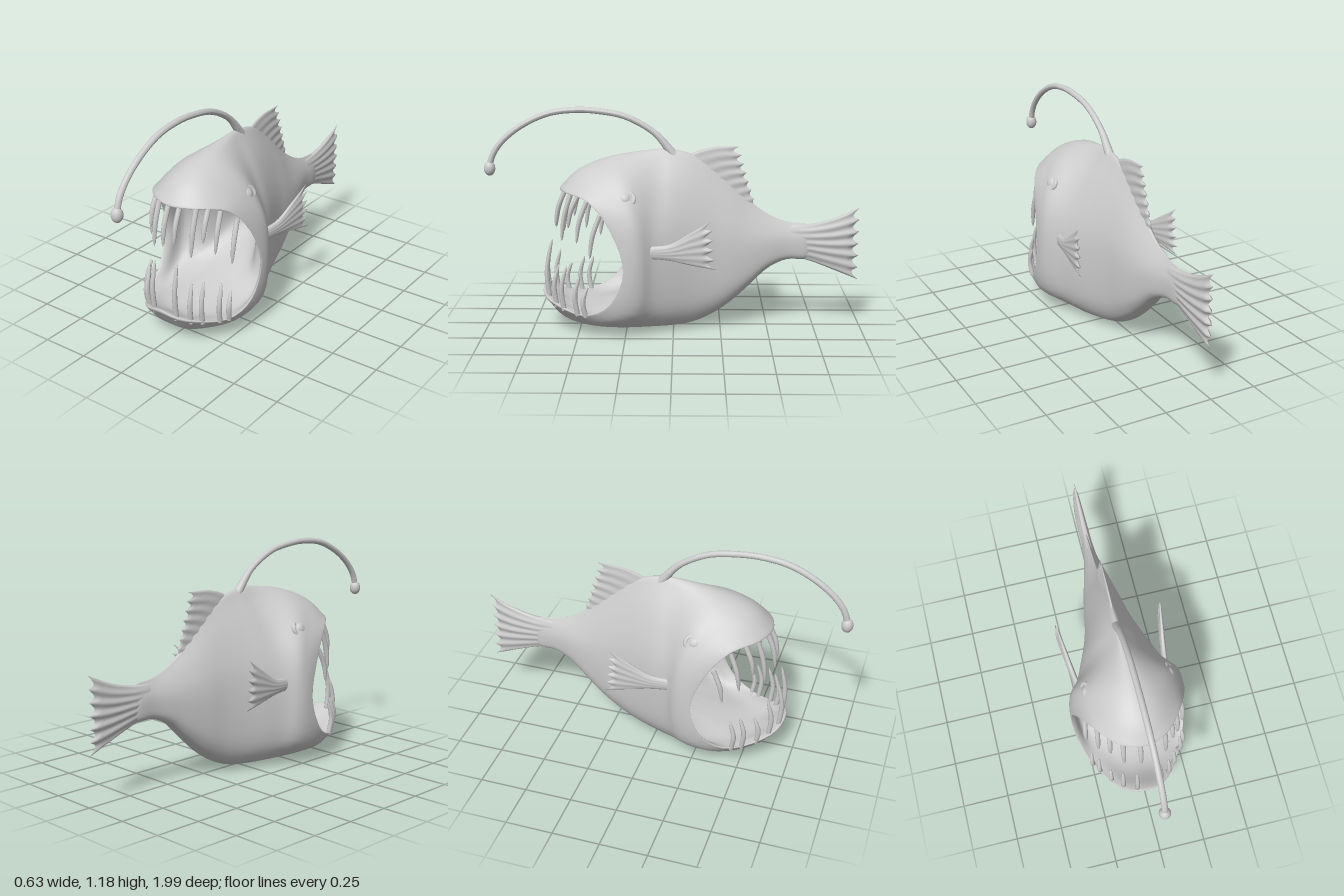
import * as THREE from 'three';

const grey = new THREE.MeshStandardMaterial({ color: 0xcccccc });
const thin = new THREE.MeshStandardMaterial({ color: 0xcccccc, side: THREE.DoubleSide });
const V = (x, y, z) => new THREE.Vector3(x, y, z);

function add(parent, name, geometry, material = grey) {
  const mesh = new THREE.Mesh(geometry, material);
  mesh.name = name;
  parent.add(mesh);
  return mesh;
}

// Skin over a list of closed rings that all have the same number of points
function skin(rings) {
  const n = rings[0].length, pos = [], index = [];
  rings.forEach(r => r.forEach(p => pos.push(p.x, p.y, p.z)));
  for (let i = 0; i < rings.length - 1; i++) {
    for (let j = 0; j < n; j++) {
      const a = i * n + j, b = i * n + (j + 1) % n;
      index.push(a, b, a + n, b, b + n, a + n);
    }
  }
  const g = new THREE.BufferGeometry();
  g.setAttribute('position', new THREE.Float32BufferAttribute(pos, 3));
  g.setIndex(index);
  g.computeVertexNormals();
  return g;
}

// Tube whose radius follows a rule along its length
function taperedTube(points, radius, segments, sides) {
  const curve = new THREE.CatmullRomCurve3(points);
  const g = new THREE.TubeGeometry(curve, segments, 1, sides);
  const pos = g.attributes.position, p = V(0, 0, 0);
  for (let i = 0; i < pos.count; i++) {
    const t = Math.floor(i / (sides + 1)) / segments;
    const c = curve.getPointAt(t);
    p.fromBufferAttribute(pos, i).sub(c).multiplyScalar(radius(t)).add(c);
    pos.setXYZ(i, p.x, p.y, p.z);
  }
  g.computeVertexNormals();
  return g;
}

// Rayed fin between an upper and a lower edge, given as [z, y] points from root to tip
function fin(upper, lower, rays, thickness, depth, rippleDepth) {
  const curve = pts => new THREE.CatmullRomCurve3(pts.map(([z, y]) => V(0, y, z)));
  const top = curve(upper), bottom = curve(lower);
  const nu = rays * 8, nv = 16, rings = [];
  for (let i = 0; i <= nv; i++) {
    const ring = [], v = i / nv;
    for (let k = 0; k < 2 * nu; k++) {
      const u = (k <= nu ? k : 2 * nu - k) / nu;
      const w = v * (1 - depth * Math.abs(Math.sin(Math.PI * rays * u)) * v * v);
      const p = top.getPoint(w).lerp(bottom.getPoint(w), u);
      const ripple = 1 - rippleDepth * v * (1 - Math.cos(2 * Math.PI * rays * u));
      const width = i === nv ? 0 : thickness * (1 - 0.55 * v ** 4) * ripple;
      p.x = width * Math.max(0, Math.sin(Math.PI * u)) ** 0.35 * (k <= nu ? 1 : -1);
      ring.push(p);
    }
    rings.push(ring);
  }
  return skin(rings);
}

// Half rings from top centre to bottom centre: mouth rim, middle of the head, back of the head
const half = points => points.map(p => V(...p));
const rim = half([[0, .75, .60], [.13, .75, .555], [.232, .72, .43], [.285, .58, .315], [.308, .38, .25],
  [.3, .2, .325], [.25, .13, .47], [.13, .17, .65], [0, .205, .70]]);
const head = half([[0, .86, .49], [.12, .84, .44], [.226, .755, .33], [.293, .6, .24], [.312, .38, .2],
  [.30, .16, .25], [.235, .07, .38], [.11, .055, .54], [0, .055, .57]]);
const nape = half([[0, .925, .32], [.1, .89, .29], [.205, .785, .23], [.28, .61, .18], [.294, .38, .155],
  [.28, .15, .18], [.2, .052, .25], [.09, .015, .33], [0, .01, .35]]);

// Flat trunk sections: z, top, bottom, half width
const trunk = [
  [.1, .96, .001, .25], [0, .958, .004, .203], [-.1, .933, .02, .161], [-.2, .873, .062, .13],
  [-.3, .785, .13, .111], [-.4, .685, .222, .089], [-.5, .613, .318, .063], [-.6, .573, .366, .038],
  [-.7, .56, .37, .028], [-.74, .52, .41, .004],
];
const sectionX = [0, .2, .58, .9, 1, .93, .66, .3, 0];
const sectionY = [1, .94, .79, .6, .4, .17, .055, .012, 0];

function bodyGeometry() {
  // Mouth lining: outer rings shrunk about the mouth centre, running back to a round throat
  const inset = (ring, sx, sy, sz, dz) =>
    ring.map(p => V(p.x * sx, .42 + (p.y - .42) * sy, p.z * sz + dz));
  const throat = [[0, -.16], [.05, -.15], [.09, -.06]].map(([r, z]) =>
    sectionX.map((_, i) => V(r * Math.sin(i * Math.PI / 8), .4 + r * Math.cos(i * Math.PI / 8), z)));
  const lining = [inset(nape, .57, .6, .65, 0), inset(head, .86, .83, 1, -.06), inset(rim, .93, 1.02, 1, -.03)];
  const lip = rim.map((p, i) => p.clone().lerp(head[i], .25).add(V(p.x * .015, 0, .01)));
  const sections = trunk.map(([z, top, bottom, w]) =>
    sectionX.map((fx, i) => V(w * fx, bottom + (top - bottom) * sectionY[i], z)));
  const sides = 64, steps = 5;
  // Mirror each half ring and round it off
  const loops = [...throat, ...lining, rim, lip, head, nape, ...sections].map(right => {
    const left = right.slice(1, -1).reverse().map(p => V(-p.x, p.y, p.z));
    const c = new THREE.CatmullRomCurve3([...right, ...left], true, 'catmullrom', 0.5);
    return Array.from({ length: sides }, (_, j) => c.getPoint(j / sides));
  });
  // Smooth lengthways through the rings
  const lines = Array.from({ length: sides }, (_, j) =>
    new THREE.CatmullRomCurve3(loops.map(l => l[j]), false, 'catmullrom', 0.5));
  const count = (loops.length - 1) * steps;
  return skin(Array.from({ length: count + 1 }, (_, i) => lines.map(l => l.getPoint(i / count))));
}

export function createModel() {
  const model = new THREE.Group();
  model.name = 'anglerfish';
  add(model, 'body', bodyGeometry());

  // Teeth: x, root y, tip y
  const upperTeeth = [[-.265, .62, .43], [-.215, .71, .48], [-.165, .745, .56], [-.105, .75, .49],
    [-.022, .75, .53], [.045, .75, .555], [.12, .75, .49], [.165, .745, .57], [.205, .72, .5], [.255, .66, .43]];
  const lowerTeeth = [[-.255, .12, .31], [-.225, .12, .32], [-.175, .13, .3], [-.12, .15, .39],
    [-.052, .17, .46], [.08, .16, .475], [.14, .14, .37], [.18, .13, .37], [.235, .12, .34], [.262, .12, .29]];
  const toothRadius = t => 0.0165 * Math.sqrt(1 - t) * (0.75 + 0.6 * t) + 0.0005;
  const teeth = new THREE.Group();
  teeth.name = 'teeth';
  model.add(teeth);
  for (const [x, root, tip] of upperTeeth) {
    const z = .585 - 3.1 * x * x;
    add(teeth, 'upperTooth', taperedTube(
      [V(x * .97, root, z - .01), V(x, (root + tip) / 2, z + .03), V(x, tip, z + .045)], toothRadius, 12, 10));
  }
  for (const [x, root, tip] of lowerTeeth) {
    const z = .68 - 3.3 * x * x;
    add(teeth, 'lowerTooth', taperedTube(
      [V(x * .97, root, z), V(x, (root + tip) / 2, z + .012), V(x * .98, tip, z - .015)], toothRadius, 12, 10));
  }

  // Fishing rod and lure
  const rod = [[.92, -.005], [.96, .025], [1.045, .1], [1.13, .25], [1.16, .4], [1.165, .52], [1.145, .66],
    [1.08, .8], [1, .9], [.93, .95], [.87, .97]].map(([y, z]) => V(0, y, z));
  add(model, 'lureRod', taperedTube(rod, t => .016 + .009 * Math.max(0, 1 - t * 7), 64, 14));
  const lure = add(model, 'lureBulb', new THREE.SphereGeometry(.03, 24, 16));
  lure.scale.y = 1.3;
  lure.position.set(0, .855, .97);

  // Tail and back fins
  add(model, 'tailFin', fin([[-.62, .555], [-.72, .56], [-.85, .592], [-.985, .65]],
    [[-.62, .385], [-.72, .36], [-.85, .31], [-.985, .255]], 6, .028, .08, .2), thin);
  add(model, 'backFin', fin([[-.04, .9], [-.1, .94], [-.2, .97], [-.345, .975]],
    [[-.38, .6], [-.4, .62], [-.415, .635], [-.435, .65]], 7, .016, .09, .2), thin);

  // Side fins and eyes, mirrored
  for (const side of [1, -1]) {
    const flank = new THREE.Group();
    flank.name = side > 0 ? 'leftSide' : 'rightSide';
    flank.scale.x = side;
    model.add(flank);

    const sideFin = add(flank, 'sideFin', fin([[.02, .495], [-.08, .51], [-.19, .575], [-.3, .645]],
      [[.02, .43], [-.08, .425], [-.19, .405], [-.325, .385]], 5, .016, .11, .1), thin);
    sideFin.position.set(.245, 0, .1);
    sideFin.rotation.y = -.14;

    const eye = new THREE.Group();
    eye.name = 'eye';
    eye.position.set(.213, .736, .25);
    eye.rotation.set(-.45, 1.34, 0, 'YXZ');
    flank.add(eye);
    const ball = add(eye, 'eyeball', new THREE.SphereGeometry(.037, 24, 16));
    ball.scale.z = .8;
    const lid = add(eye, 'eyelid', new THREE.TorusGeometry(.044, .011, 10, 32));
    lid.scale.set(1.15, .9, 1);
  }
  return model;
}
